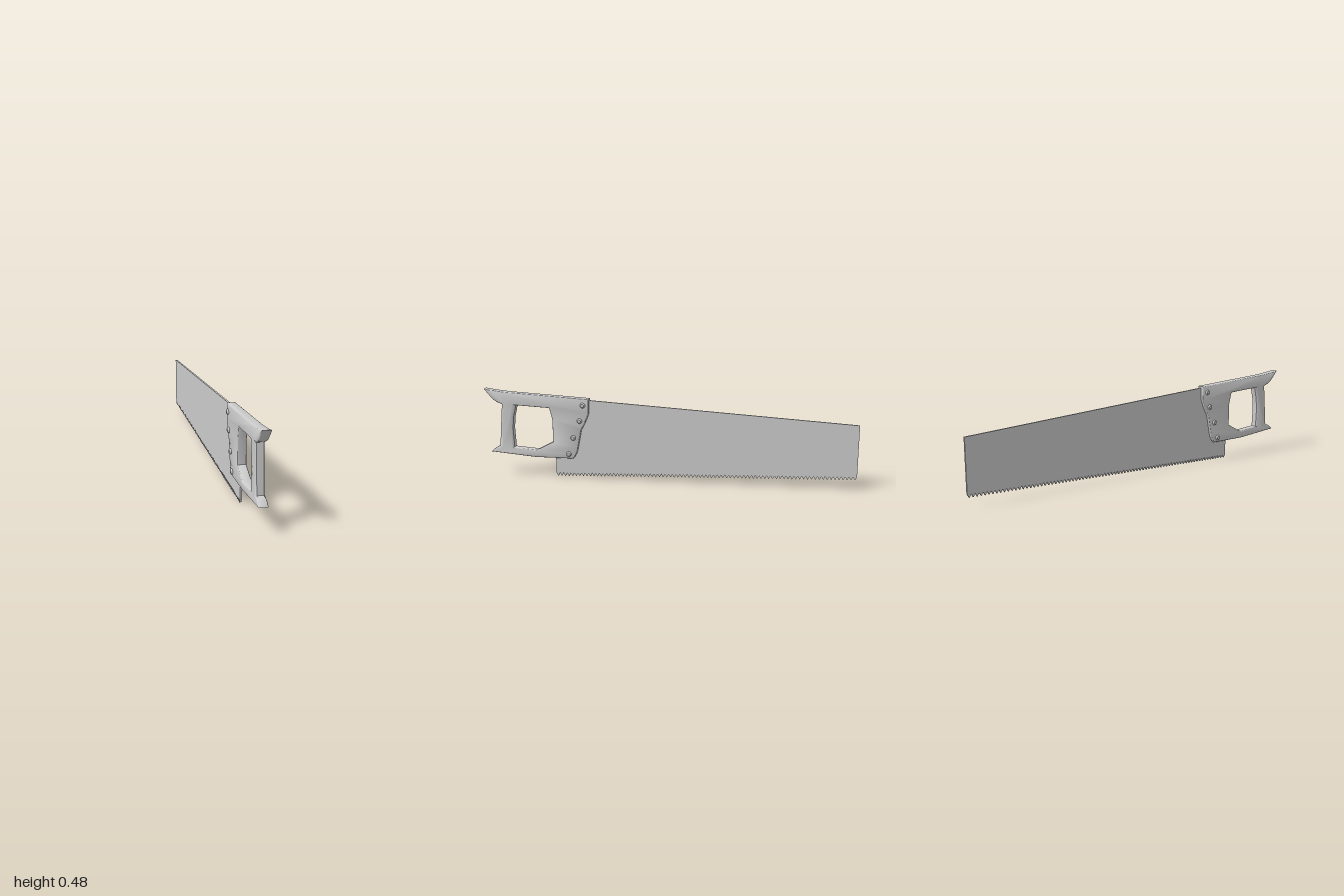
import * as THREE from 'three';
import { toCreasedNormals } from 'three/addons/utils/BufferGeometryUtils.js';

const material = new THREE.MeshStandardMaterial({ color: 0xcccccc });
const points = (list) => list.map(([z, y]) => new THREE.Vector2(z, y));

// Extrudes a side profile drawn as (z, y) across the saw's thickness, centred on x = 0
function sidePlate(shape, width, bevel) {
  const geometry = new THREE.ExtrudeGeometry(shape, {
    depth: width - 2 * bevel, bevelEnabled: bevel > 0, bevelThickness: bevel,
    bevelSize: bevel, bevelOffset: -bevel, bevelSegments: 4, curveSegments: 6,
  });
  geometry.translate(0, 0, bevel - width / 2);
  return geometry.rotateY(-Math.PI / 2);
}

function addMesh(group, name, geometry) {
  const mesh = new THREE.Mesh(geometry, material);
  mesh.name = name;
  group.add(mesh);
  return mesh;
}

// Tapered blade with a row of triangular teeth along its lower edge
function bladeGeometry() {
  const teeth = 80, heel = 0.61, toe = -1, height = 0.018;
  const outline = [[toe, 0.34], [0.45, 0.43], [0.53, 0.3], [heel, 0.14]];
  for (let i = 0; i < teeth; i++) {
    const at = (t) => [heel + (toe - heel) * t, 0.05 * t];
    const [z0, y0] = at(i / teeth);
    const [z1, y1] = at((i + 0.5) / teeth);
    outline.push([z0, y0 + height], [z1, y1]);
  }
  outline.push([toe, 0.05 + height]);
  return sidePlate(new THREE.Shape(points(outline)), 0.01, 0);
}

// Handle with horned grip and a hand opening
function handleGeometry() {
  const width = 0.046, bevel = 0.007;
  const shape = new THREE.Shape();
  shape.moveTo(1, 0.478);
  shape.quadraticCurveTo(0.92, 0.465, 0.83, 0.46);
  shape.lineTo(0.417, 0.437);
  shape.lineTo(0.418, 0.36);
  shape.quadraticCurveTo(0.435, 0.31, 0.462, 0.265);
  shape.lineTo(0.482, 0.165);
  shape.quadraticCurveTo(0.49, 0.125, 0.51, 0.106);
  shape.lineTo(0.72, 0.106);
  shape.lineTo(0.973, 0.128);
  shape.quadraticCurveTo(0.955, 0.15, 0.922, 0.163);
  shape.lineTo(0.915, 0.25);
  shape.lineTo(0.902, 0.395);
  shape.quadraticCurveTo(0.945, 0.41, 0.965, 0.435);
  shape.closePath();
  shape.holes.push(new THREE.Path(points([
    [0.823, 0.392], [0.636, 0.382], [0.62, 0.318], [0.62, 0.195],
    [0.711, 0.147], [0.84, 0.157], [0.845, 0.265], [0.838, 0.33],
  ])));
  const geometry = sidePlate(shape, width, bevel);

  // Round the grip more strongly than the rest of the edge
  const p = geometry.attributes.position;
  for (let i = 0; i < p.count; i++) {
    const z = p.getZ(i), y = p.getY(i);
    if (z < 0.81 || z > 0.94 || y < 0.15 || y > 0.405) continue;
    const t = Math.max(0, (Math.abs(p.getX(i)) - width / 2 + bevel) / bevel);
    p.setZ(i, THREE.MathUtils.lerp(z, 0.876, 0.25 * t));
  }
  return toCreasedNormals(geometry, 0.6);
}

export function createModel() {
  const saw = new THREE.Group();
  saw.name = 'handSaw';
  addMesh(saw, 'blade', bladeGeometry()).position.x = -0.001;
  addMesh(saw, 'handle', handleGeometry()).position.x = -0.001;

  // Domed rivets on both faces of the handle
  const rivetProfile = points([[0.014, 0], [0.014, 0.015], [0.0125, 0.019], [0.009, 0.023], [0, 0.0235]]);
  const rivet = toCreasedNormals(new THREE.LatheGeometry(rivetProfile, 16), 0.7);
  const places = [[0.449, 0.402], [0.468, 0.317], [0.505, 0.223], [0.532, 0.132]];
  for (const side of [-1, 1]) {
    for (const [z, y] of places) {
      const mesh = addMesh(saw, side > 0 ? 'leftRivet' : 'rightRivet', rivet);
      mesh.rotation.z = -side * Math.PI / 2;
      mesh.position.set(side * 0.01, y, z);
    }
  }
  return saw;
}
